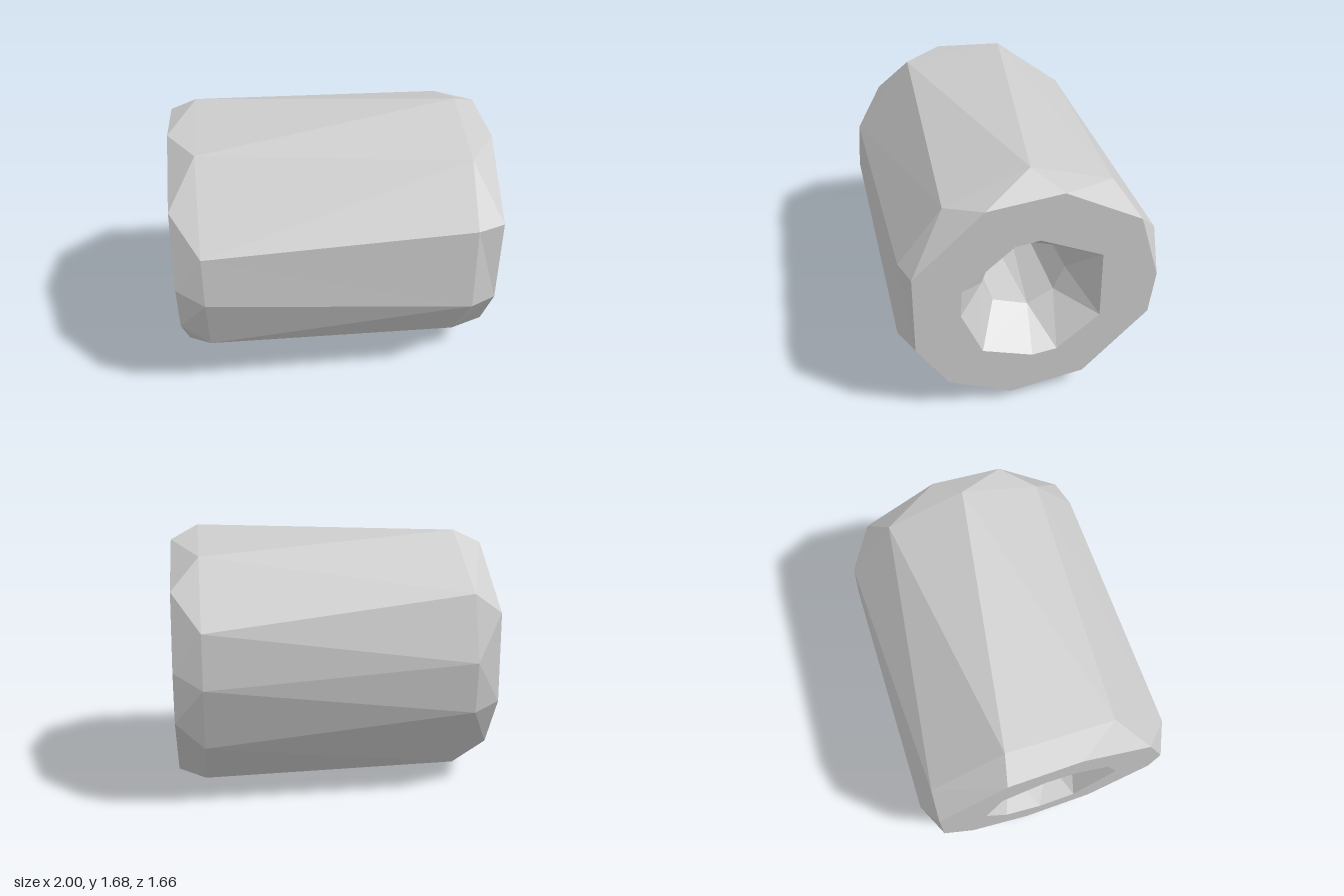
import * as THREE from 'three';

const CY = 0.835; // height of the bead's axis

// Each ring lies in a plane of constant x; its corners are [z, y].
const ring = (x, corners) => corners
  .map(([z, y]) => ({ p: [x, y, z], a: (Math.atan2(y - CY, z) + 2 * Math.PI) % (2 * Math.PI) }))
  .sort((m, n) => m.a - n.a);

// Left end: rim of the face, then the chamfer
const faceL = ring(-1, [[0.15, 1.6], [0.61, 1.33], [0.77, 0.88], [0.74, 0.58], [0.35, 0.13],
  [-0.14, 0.07], [-0.55, 0.28], [-0.74, 0.61], [-0.73, 1.17], [-0.3, 1.57]]);
const bodyL = ring(-0.83, [[0.41, 1.585], [0.8, 1.11], [0.83, 0.79], [0.71, 0.39], [0.26, 0.025],
  [-0.41, 0.09], [-0.8, 0.56], [-0.83, 0.88], [-0.72, 1.29], [-0.26, 1.65]]);
// Right end
const bodyR = ring(0.83, [[0.01, 1.685], [-0.49, 1.52], [-0.8, 1.11], [-0.83, 0.78], [-0.71, 0.39],
  [-0.38, 0.07], [0.08, 0], [0.49, 0.15], [0.82, 0.62], [0.78, 1.16], [0.51, 1.505]]);
const faceR = ring(1, [[-0.14, 1.6], [0.31, 1.56], [0.73, 1.17], [0.74, 0.62], [0.55, 0.28],
  [0.15, 0.07], [-0.34, 0.13], [-0.75, 0.57], [-0.77, 0.88], [-0.62, 1.33]]);
// Flared mouths and the narrow bore between them
const rimR = ring(1, [[0.14, 1.285], [-0.01, 1.3], [-0.4, 1.11], [-0.42, 0.62], [-0.15, 0.39],
  [0.01, 0.375], [0.33, 0.5], [0.46, 0.83], [0.45, 1.02]]);
const throatR = ring(0.74, [[0.03, 1.1], [-0.2, 1.02], [-0.27, 0.83], [-0.2, 0.66], [-0.03, 0.57],
  [0.2, 0.66], [0.27, 0.82], [0.2, 1.02]]);
const throatL = ring(-0.74, [[0.12, 1.08], [-0.08, 1.09], [-0.25, 0.97], [-0.26, 0.75], [-0.2, 0.65],
  [0.08, 0.58], [0.25, 0.7], [0.25, 0.92]]);
const rimL = ring(-1, [[-0.33, 1.16], [-0.06, 1.3], [0.14, 1.28], [0.36, 1.13], [0.46, 0.84],
  [0.2, 0.42], [-0.05, 0.38], [-0.3, 0.5], [-0.44, 0.76]]);

// Stitch two rings with triangles, stepping round by angle
function stitch(A, B, out) {
  const at = (R, i) => R[i % R.length].p;
  const angle = (R, i) => (i < R.length ? R[i].a : R[i - R.length].a + 2 * Math.PI);
  let i = 0, j = 0;
  while (i < A.length || j < B.length) {
    const stepA = j >= B.length || (i < A.length && angle(A, i + 1) <= angle(B, j + 1));
    const next = stepA ? at(A, i + 1) : at(B, j + 1);
    out.push(...at(A, i), ...at(B, j), ...next);
    if (stepA) i++; else j++;
  }
}

function loft(name, ...pairs) {
  const positions = [];
  for (const [A, B] of pairs) stitch(A, B, positions);
  const geometry = new THREE.BufferGeometry();
  geometry.setAttribute('position', new THREE.Float32BufferAttribute(positions, 3));
  geometry.computeVertexNormals();
  const mesh = new THREE.Mesh(geometry, new THREE.MeshStandardMaterial({ color: 0xcccccc, flatShading: true }));
  mesh.name = name;
  return mesh;
}

export function createModel() {
  const group = new THREE.Group();
  group.name = 'facetedBead';
  group.add(
    loft('outerShell', [faceL, bodyL], [bodyL, bodyR], [bodyR, faceR]),
    loft('rightEndFace', [faceR, rimR]),
    loft('bore', [rimR, throatR], [throatR, throatL], [throatL, rimL]),
    loft('leftEndFace', [rimL, faceL]),
  );
  return group;
}
